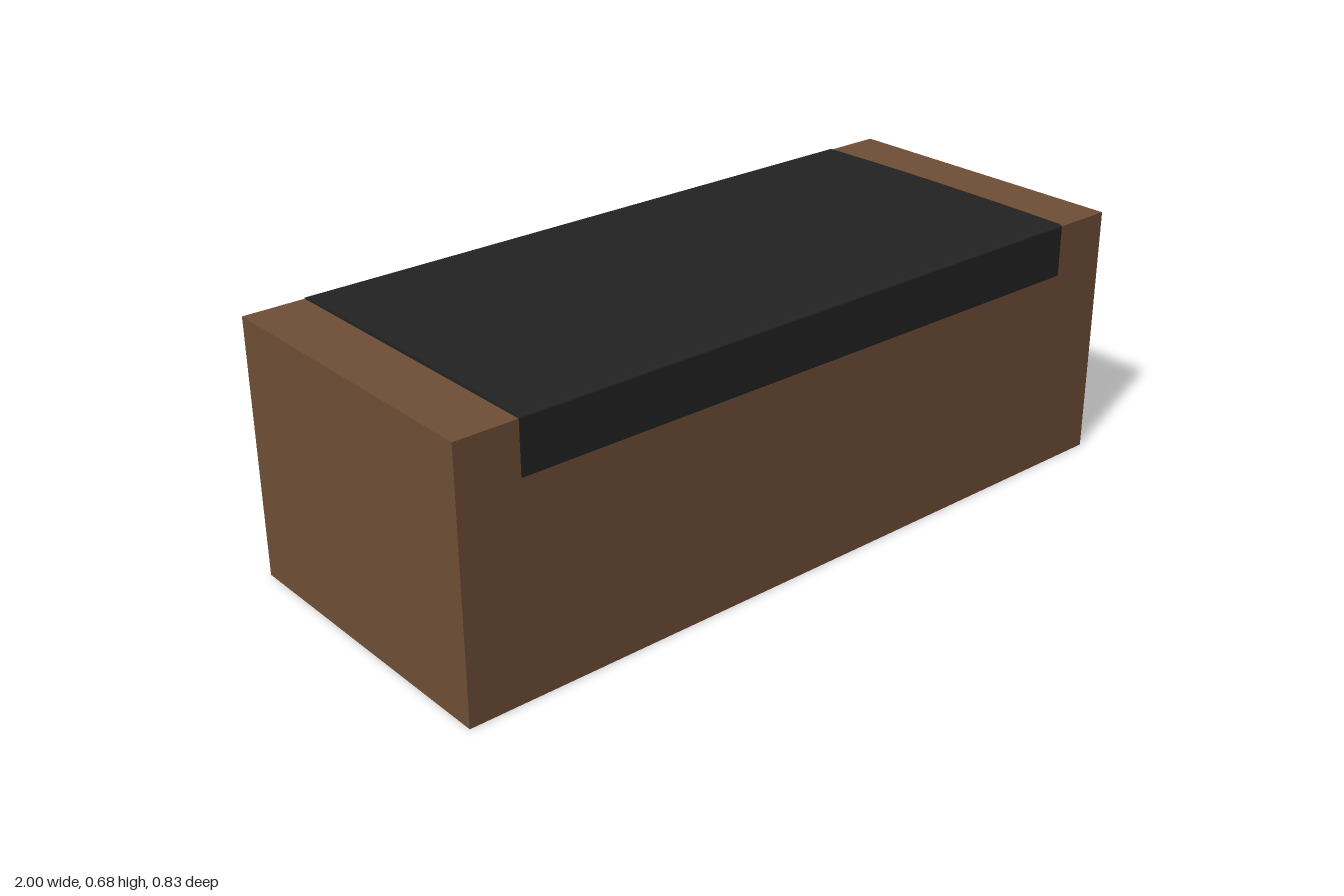
import * as THREE from 'three';

export function createModel() {
  const model = new THREE.Group();
  const wood = new THREE.MeshStandardMaterial({ color: 0x6f4e37 });
  wood.name = 'brown wood';
  const cloth = new THREE.MeshStandardMaterial({ color: 0x232323 });
  cloth.name = 'black cushion';

  // Solid bench block
  const base = new THREE.Mesh(new THREE.BoxGeometry(2, 0.667, 0.828), wood);
  base.name = 'base';
  base.position.y = 0.667 / 2;
  model.add(base);

  // Inset seat pad: profile across the depth, with soft corners and a slight crown
  const half = 0.4155, bottom = 0.535, left = -0.841, right = 0.837;
  const profile = new THREE.Shape();
  profile.moveTo(-half, bottom);
  profile.lineTo(half, bottom);
  profile.lineTo(half, 0.666);
  profile.quadraticCurveTo(half, 0.671, half - 0.01, 0.672);
  profile.quadraticCurveTo(0, 0.68, -half + 0.01, 0.672);
  profile.quadraticCurveTo(-half, 0.671, -half, 0.666);
  profile.closePath();
  const padGeometry = new THREE.ExtrudeGeometry(profile, {
    depth: right - left, bevelEnabled: false, curveSegments: 10,
  });
  padGeometry.rotateY(Math.PI / 2);
  padGeometry.translate(left, 0, 0);
  const pad = new THREE.Mesh(padGeometry, cloth);
  pad.name = 'seatPad';
  model.add(pad);

  return model;
}
